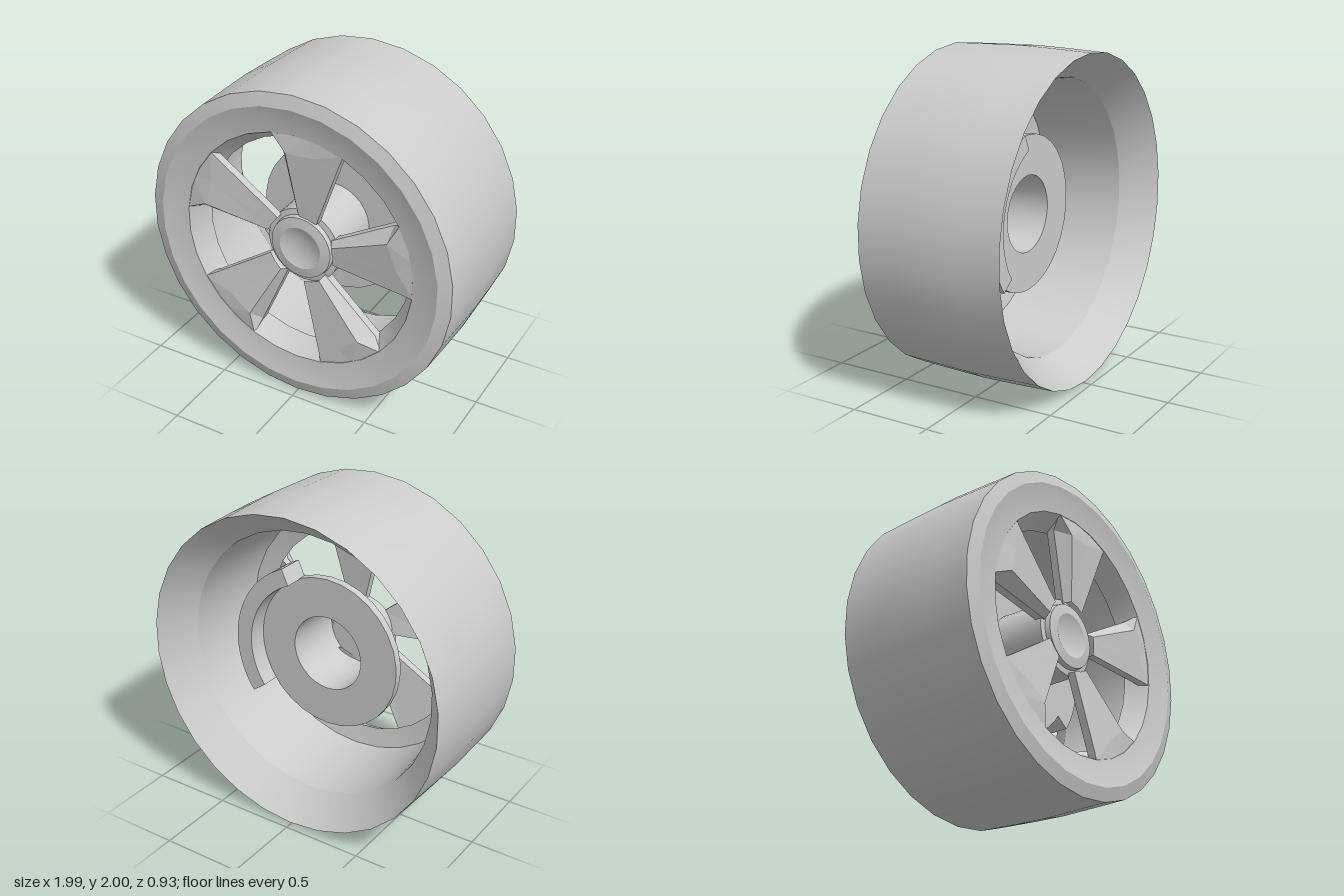
import * as THREE from 'three';
import { toCreasedNormals } from 'three/addons/utils/BufferGeometryUtils.js';

const material = new THREE.MeshStandardMaterial({ color: 0xcccccc });
const SIDES = 30;

function part(name, geometry) {
  const mesh = new THREE.Mesh(geometry, material);
  mesh.name = name;
  return mesh;
}

// Turns a profile of [radius, z] points around the wheel axis (z)
function turned(name, profile) {
  const points = profile.map(([r, z]) => new THREE.Vector2(r, z));
  const geometry = new THREE.LatheGeometry(points, SIDES).rotateX(Math.PI / 2);
  return part(name, toCreasedNormals(geometry, 0.55));
}

// Skins closed cross-sections with flat facets
function loft(sections) {
  const positions = [];
  for (let i = 0; i < sections.length - 1; i++) {
    const a = sections[i], b = sections[i + 1];
    for (let j = 0; j < a.length; j++) {
      const k = (j + 1) % a.length;
      positions.push(...a[j], ...a[k], ...b[k], ...a[j], ...b[k], ...b[j]);
    }
  }
  const geometry = new THREE.BufferGeometry();
  geometry.setAttribute('position', new THREE.Float32BufferAttribute(positions, 3));
  geometry.computeVertexNormals();
  return geometry;
}

// Spoke section: low window edge, ridge, panel middle, far edge, then the back corners
function spokeSection(near, ridge, middle, far) {
  const behind = ([x, y, z]) => [x, y, z - 0.05];
  return [near, ridge, middle, far, behind(far), behind(near)];
}

export function createModel() {
  const group = new THREE.Group();
  const wheel = new THREE.Group();
  wheel.name = 'wheel';
  wheel.position.y = 1;
  group.add(wheel);

  // Barrel with front lip, sunken face, tapered opening and hollow inside
  wheel.add(turned('rim', [
    [0.985, -0.465], [0.995, -0.2], [1, 0], [0.995, 0.2], [0.988, 0.44],
    [0.91, 0.465], [0.83, 0.442], [0.745, 0.43], [0.67, 0.3],
    [0.79, 0.27], [0.83, -0.26], [0.985, -0.465],
  ]));

  // Five spokes: a broad panel flush with the face, with a ridge on one side
  // and a narrow strip falling from it to the window
  const spokeGeometry = loft([
    spokeSection([-0.03, 0.21, 0.35], [0, 0.22, 0.39], [0.055, 0.21, 0.387], [0.11, 0.19, 0.383]),
    spokeSection([-0.125, 0.66, 0.36], [-0.05, 0.63, 0.44], [0.12, 0.635, 0.43], [0.275, 0.62, 0.42]),
    spokeSection([-0.135, 0.7, 0.36], [-0.155, 0.74, 0.427], [0.08, 0.755, 0.427], [0.305, 0.69, 0.427]),
  ]);
  const spokes = new THREE.Group();
  spokes.name = 'spokes';
  for (let i = 0; i < 5; i++) {
    const spoke = part('spoke', spokeGeometry);
    spoke.rotation.z = (i * Math.PI * 2) / 5;
    spokes.add(spoke);
  }
  wheel.add(spokes);

  // Hub tube with a shoulder, closed at the front by a cap with a shallow bowl
  wheel.add(turned('hub', [
    [0.24, -0.05], [0.235, 0.34], [0.2, 0.345], [0.195, 0.375], [0.135, 0.385],
    [0.1, 0.37], [0.05, 0.36], [0, 0.357],
  ]));
  wheel.add(turned('hubInside', [[0, 0.33], [0.232, 0.33], [0.236, -0.06]]));

  // Brake disc with a centre hole
  wheel.add(turned('brakeDisc', [
    [0.236, -0.06], [0.48, -0.06], [0.48, -0.01], [0.236, -0.01],
  ]));

  // Curved caliper hugging the disc on the left side
  const start = THREE.MathUtils.degToRad(-36), end = THREE.MathUtils.degToRad(66);
  const arc = new THREE.Shape();
  arc.absarc(0, 0, 0.58, start, end, false);
  arc.absarc(0, 0, 0.475, end, start, true);
  const caliper = new THREE.ExtrudeGeometry(arc, { depth: 0.17, bevelEnabled: false, curveSegments: 14 });
  caliper.translate(0, 0, -0.18);
  wheel.add(part('brakeCaliper', toCreasedNormals(caliper, 0.4)));

  return group;
}
